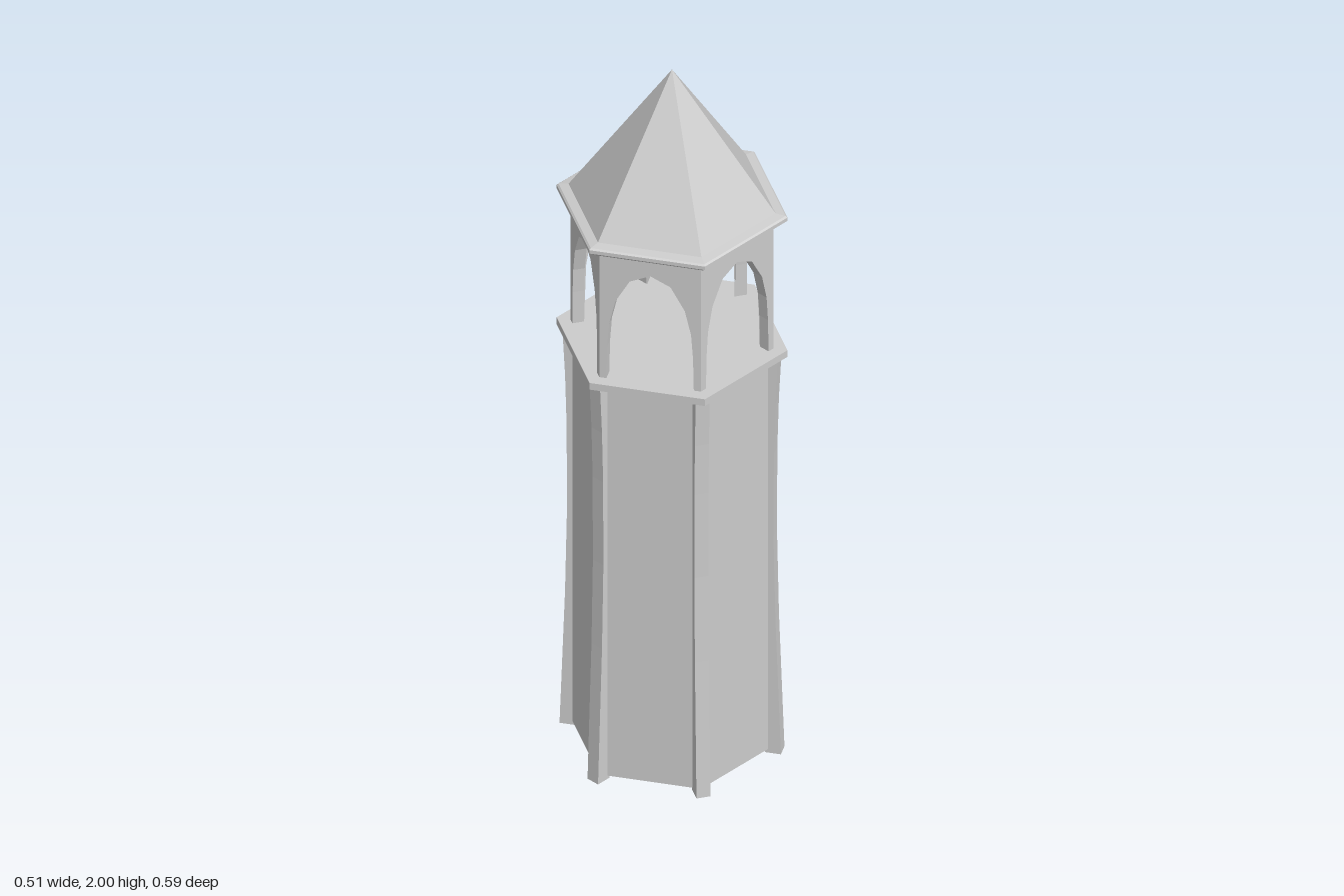
import * as THREE from 'three';

const WALL_R = 0.258;                         // corner radius of the hexagonal shaft
const APOTHEM = WALL_R * Math.cos(Math.PI / 6);
const TAN30 = Math.tan(Math.PI / 6);

const material = new THREE.MeshStandardMaterial({
  color: 0xcccccc, flatShading: true, side: THREE.DoubleSide,
});

function part(name, geometry, angle = 0) {
  const mesh = new THREE.Mesh(geometry, material);
  mesh.name = name;
  mesh.rotation.y = angle;
  return mesh;
}

// Six-sided ring or shell from a [radius, height] profile, corners on +z and -z
const hexLathe = (profile) =>
  new THREE.LatheGeometry(profile.map(([r, y]) => new THREE.Vector2(r, y)), 6);

const polygon = (points) => points.map(([x, y]) => new THREE.Vector2(x, y));

// Corner buttress: flared outer edge, drawn as radius against height
function buttressGeometry() {
  const width = 0.036;
  const shape = new THREE.Shape(polygon([
    [0.24, 0], [0.281, 0], [0.274, 0.2], [0.267, 0.4], [0.262, 0.65],
    [0.263, 0.9], [0.267, 1.05], [0.274, 1.19], [0.24, 1.19],
  ]));
  const geometry = new THREE.ExtrudeGeometry(shape, { depth: width, bevelEnabled: false });
  return geometry.translate(0, 0, -width / 2).rotateY(-Math.PI / 2);
}

// One arched side of the belfry, its ends mitred to meet the next side
function archGeometry() {
  const thickness = 0.03, half = APOTHEM * TAN30;
  const arch = [[0.111, 1.2], [0.109, 1.3], [0.104, 1.37], [0.088, 1.44], [0.052, 1.505]];
  const mirrored = arch.map(([x, y]) => [-x, y]).reverse();
  const shape = new THREE.Shape(polygon([
    [half, 1.2], [half, 1.59], [-half, 1.59], [-half, 1.2],
    ...mirrored.reverse(), [0, 1.53], ...arch.slice().reverse(),
  ]));
  const geometry = new THREE.ExtrudeGeometry(shape, { depth: thickness, bevelEnabled: false });
  geometry.translate(0, 0, APOTHEM - thickness);
  const p = geometry.attributes.position;
  for (let i = 0; i < p.count; i++) {
    const limit = p.getZ(i) * TAN30;
    p.setX(i, THREE.MathUtils.clamp(p.getX(i), -limit, limit));
  }
  geometry.computeVertexNormals();
  return geometry;
}

export function createModel() {
  const tower = new THREE.Group();
  tower.name = 'tower';

  // Shaft, open at the bottom
  tower.add(part('shaftWalls', hexLathe([[WALL_R, 0.01], [WALL_R, 1.19]])));

  // Belfry floor slab
  const floor = new THREE.CylinderGeometry(0.293, 0.293, 0.02, 6).translate(0, 1.195, 0);
  tower.add(part('belfryFloor', floor));

  // Buttresses on the corners, arches on the sides
  const buttress = buttressGeometry();
  const arch = archGeometry();
  for (let i = 0; i < 6; i++) {
    const angle = (i * Math.PI) / 3;
    // the buttress is drawn pointing along +z
    tower.add(part('buttress', buttress, angle));
    tower.add(part('belfryArch', arch, angle + Math.PI / 6));
  }

  // Moulded cornice ring, hollow in the middle
  tower.add(part('cornice', hexLathe([
    [0.225, 1.58], [0.274, 1.58], [0.284, 1.588], [0.293, 1.594],
    [0.293, 1.604], [0.288, 1.608], [0.262, 1.612],
  ])));

  // Pointed roof, open underneath
  const roof = new THREE.ConeGeometry(0.264, 0.39, 6, 1, true).translate(0, 1.805, 0);
  tower.add(part('roof', roof));

  return tower;
}
